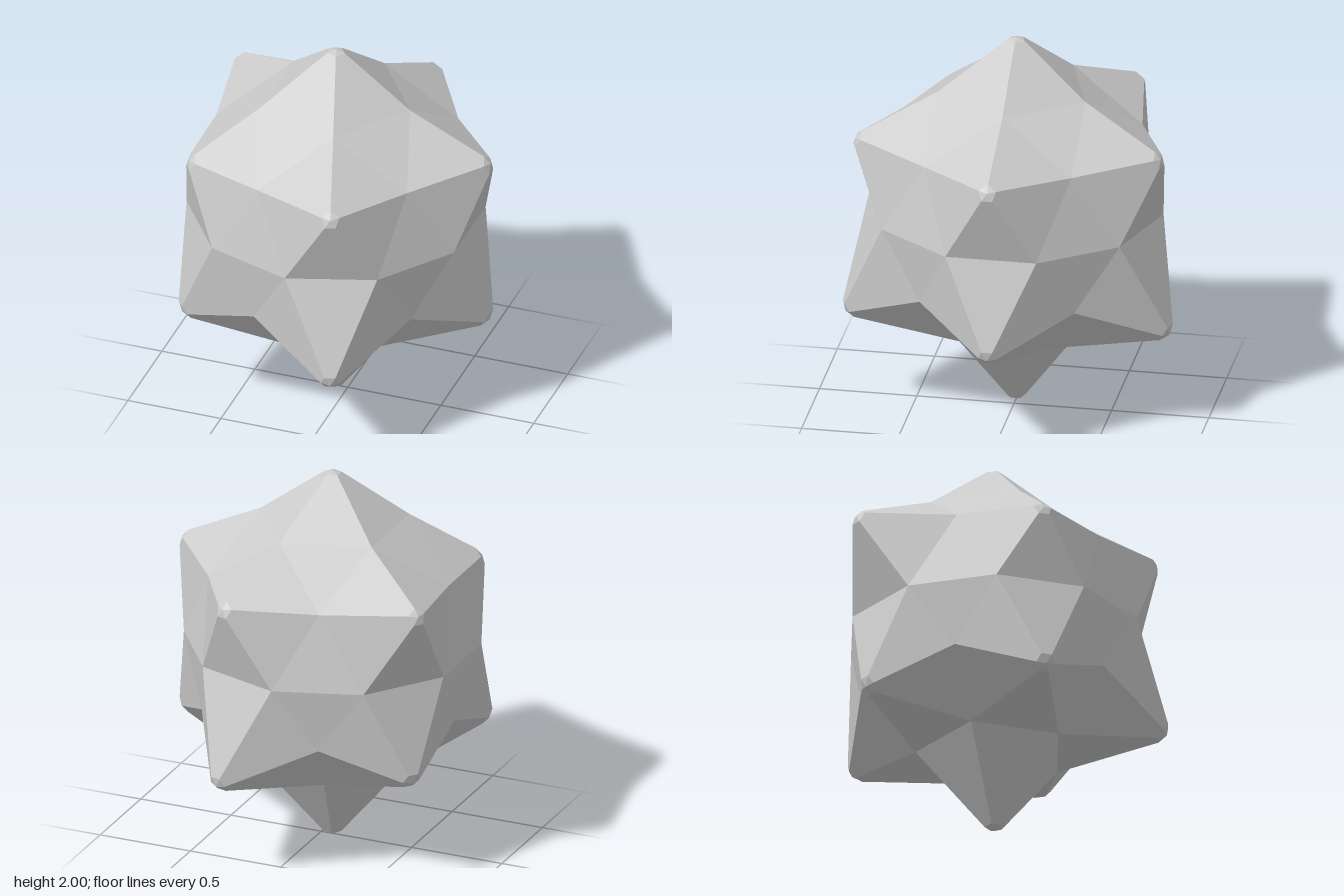
import * as THREE from 'three';

const R = 0.756; // circumscribed radius of the core
const deg = Math.PI / 180;

// Point on a horizontal ring
const ringPoint = (r, y, az) =>
  new THREE.Vector3(r * Math.cos(az * deg), y, r * Math.sin(az * deg));

// Valley points, by angle around the vertical axis
const belt = az => ringPoint(R, 0, az);
const upperMid = az => ringPoint(0.643, 0.397, az);
const upperCap = az => ringPoint(0.397, 0.643, az);
const lowerMid = az => ringPoint(0.676, -0.338, az);
const lowerCap = az => ringPoint(0.397, -0.643, az);

const material = new THREE.MeshStandardMaterial({ color: 0xcccccc, flatShading: true });

// Flat-shaded mesh from triangles, each turned to face away from the core's middle
function facetMesh(name, triangles) {
  const points = [];
  for (const [a, b, c] of triangles) {
    const normal = b.clone().sub(a).cross(c.clone().sub(a));
    const middle = a.clone().add(b).add(c);
    points.push(...(normal.dot(middle) < 0 ? [a, c, b] : [a, b, c]));
  }
  const geometry = new THREE.BufferGeometry().setFromPoints(points);
  geometry.computeVertexNormals();
  const mesh = new THREE.Mesh(geometry, material);
  mesh.name = name;
  return mesh;
}

// Pyramid over a loop of valley points, with a small blunted tip
function spike(name, base, direction, height) {
  const centre = base.reduce((sum, p) => sum.add(p), new THREE.Vector3()).divideScalar(base.length);
  const reach = centre.dot(direction);
  const peak = direction.clone().multiplyScalar(reach + height / 0.925);
  const tip = direction.clone().multiplyScalar(reach + height);
  const collar = base.map(p => p.clone().lerp(peak, 0.88));
  const triangles = [];
  base.forEach((p, i) => {
    const j = (i + 1) % base.length;
    triangles.push([p, base[j], collar[j]], [p, collar[j], collar[i]], [collar[i], collar[j], tip]);
  });
  return facetMesh(name, triangles);
}

export function createModel() {
  const model = new THREE.Group();
  model.name = 'spikedPolyhedron';
  const body = new THREE.Group();
  body.name = 'body';
  body.position.set(-0.063, 1.08, 0);
  model.add(body);

  const fifths = [0, 72, 144, 216, 288];
  const upperHeights = [0.285, 0.275, 0.22, 0.33, 0.285];
  const lowerHeights = [0.35, 0.405, 0.33, 0.33, 0.41];

  // Top and bottom spikes
  body.add(spike('topSpike', fifths.map(upperCap), new THREE.Vector3(0, 1, 0), 0.277));
  body.add(spike('bottomSpike', fifths.map(a => lowerCap(a + 36)), new THREE.Vector3(0, -1, 0), 0.437));

  const valleys = [];
  fifths.forEach((a, i) => {
    // Upper side spikes stand on pentagons
    body.add(spike('upperSpike',
      [belt(a - 18), belt(a + 18), upperMid(a + 36), upperCap(a), upperMid(a - 36)],
      ringPoint(0.894, 0.447, a).normalize(), upperHeights[i]));
    // Lower side spikes stand on hexagons
    body.add(spike('lowerSpike',
      [belt(a - 18), belt(a + 18), lowerMid(a + 36), lowerCap(a + 36), lowerCap(a - 36), lowerMid(a - 36)],
      ringPoint(0.85, -0.526, a).normalize(), lowerHeights[i]));
    // Valley triangles between the spikes
    valleys.push(
      [upperCap(a), upperCap(a + 72), upperMid(a + 36)],
      [belt(a + 18), belt(a + 54), upperMid(a + 36)],
      [belt(a + 18), belt(a + 54), lowerMid(a + 36)]);
  });
  body.add(facetMesh('valleyFacets', valleys));
  return model;
}
